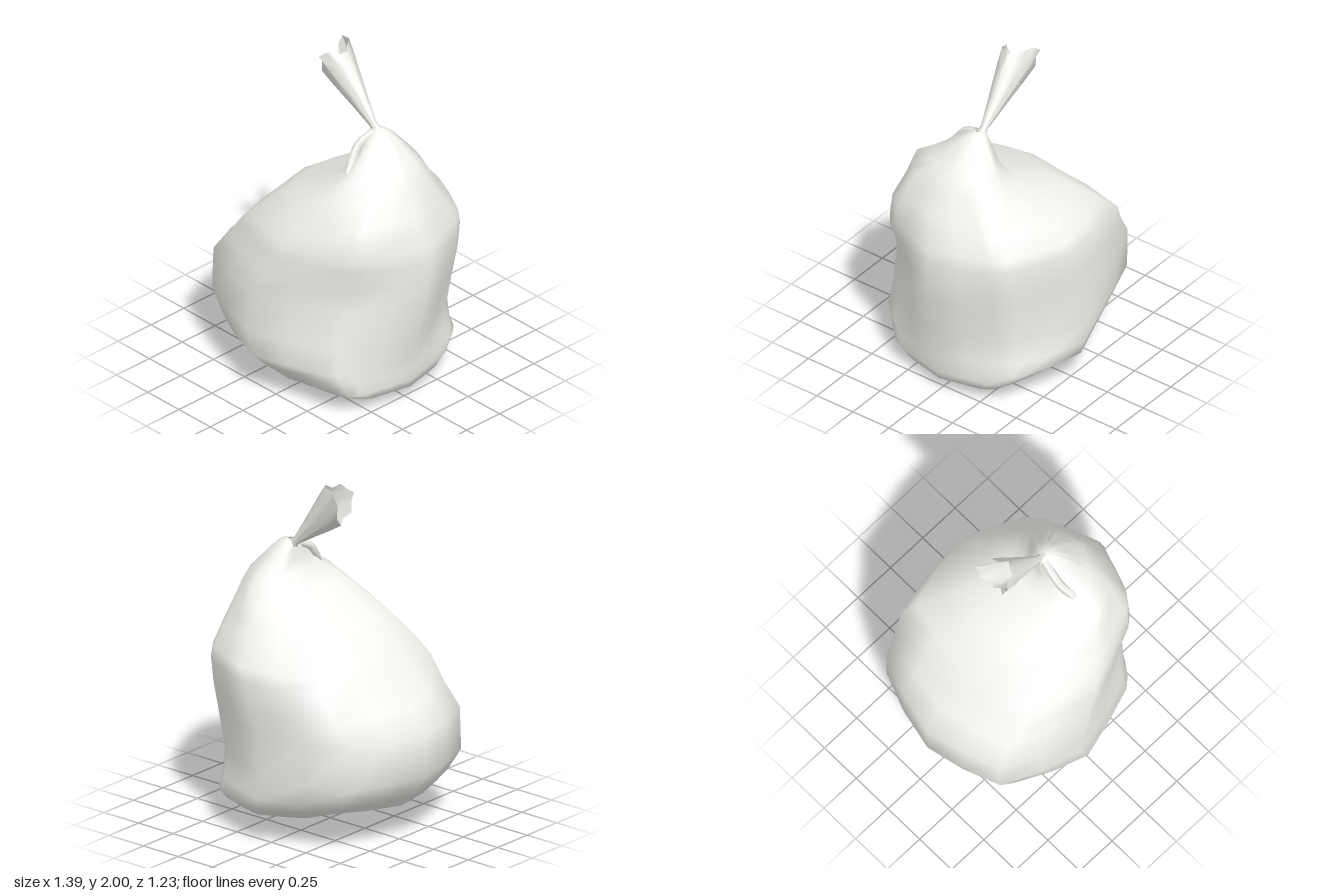
import * as THREE from 'three';

const material = new THREE.MeshStandardMaterial({ color: 0xf5f6f1, side: THREE.DoubleSide });

// Skin a surface over closed rings of Vector3 (all the same length)
function loft(name, rings) {
  const n = rings[0].length, pos = [], index = [];
  rings.forEach((ring) => ring.forEach((p) => pos.push(p.x, p.y, p.z)));
  for (let i = 0; i < rings.length - 1; i++) {
    for (let j = 0; j < n; j++) {
      const a = i * n + j, b = i * n + (j + 1) % n;
      index.push(a, a + n, b, b, a + n, b + n);
    }
  }
  const g = new THREE.BufferGeometry();
  g.setAttribute('position', new THREE.Float32BufferAttribute(pos, 3));
  g.setIndex(index);
  g.computeVertexNormals();
  const mesh = new THREE.Mesh(g, material);
  mesh.name = name;
  return mesh;
}

// Plan outline of the full bag, normalised to -1..1
const outline = new THREE.CatmullRomCurve3([
  [-1, 0], [-0.78, -0.77], [0.03, -1], [0.64, -0.73], [0.77, -0.57],
  [1, 0], [0.77, 0.58], [0.6, 0.76], [-0.1, 1], [-0.8, 0.72],
].map(([x, z]) => new THREE.Vector3(x, 0, z)), true, 'catmullrom', 0.2);

// Extents of the bag by height: y, xMin, xMax, zMin, zMax
const levels = [
  [0, 0.36, 0.38, 0.02, 0.04],
  [0.08, -0.15, 0.54, -0.38, 0.37],
  [0.13, -0.31, 0.55, -0.47, 0.48],
  [0.21, -0.54, 0.565, -0.59, 0.56],
  [0.28, -0.59, 0.58, -0.6, 0.62],
  [0.42, -0.7, 0.61, -0.605, 0.615],
  [0.67, -0.7, 0.67, -0.61, 0.61],
  [0.8, -0.58, 0.68, -0.61, 0.58],
  [0.94, -0.46, 0.69, -0.595, 0.555],
  [1.02, -0.39, 0.67, -0.58, 0.535],
  [1.12, -0.3, 0.645, -0.49, 0.48],
  [1.2, -0.19, 0.61, -0.42, 0.43],
  [1.34, 0.09, 0.54, -0.3, 0.345],
  [1.42, 0.165, 0.49, -0.24, 0.24],
  [1.5, 0.185, 0.41, -0.18, 0.13],
  [1.56, 0.195, 0.355, -0.13, 0.06],
  [1.595, 0.2, 0.31, -0.09, 0],
  [1.605, 0.23, 0.26, -0.06, -0.03],
];

// Bulges and dents at the corners: y, spread, direction (in half turns), amount
const bulges = [
  [0.12, 0.15, 0.25, 0.13],
  [0.12, 0.15, -0.25, 0.13],
  [0.16, 0.1, -0.75, -0.26],
  [0.74, 0.15, 0.25, -0.09],
  [0.93, 0.13, -0.75, 0.13],
  [0.93, 0.13, 0.75, 0.06],
  [1.13, 0.07, 0.25, 0.05],
  [1.42, 0.08, 0.25, -0.12],
];

function bagRing([y, x0, x1, z0, z1]) {
  const ring = [];
  const round = THREE.MathUtils.smoothstep(y, 1.1, 1.5);      // becomes circular at the neck
  const pleat = 0.1 * THREE.MathUtils.smoothstep(y, 1.3, 1.45);
  for (let j = 0; j < 20; j++) {
    const p = outline.getPoint(j / 20);
    const a = Math.atan2(p.z, p.x);
    p.lerp(new THREE.Vector3(Math.cos(a), 0, Math.sin(a)), round);
    // gathers under the knot, then fuller or slacker corners
    let s = 1 - pleat * (j % 2);
    bulges.forEach(([height, spread, turn, amount]) => {
      const around = Math.max(0, Math.cos(a - turn * Math.PI)) ** 8;
      s += amount * around * Math.exp(-(((y - height) / spread) ** 2));
    });
    ring.push(new THREE.Vector3(
      (x0 + x1) / 2 + p.x * s * (x1 - x0) / 2, y, (z0 + z1) / 2 + p.z * s * (z1 - z0) / 2));
  }
  return ring;
}

// Pleated tail: a fluted flare along a leaning axis with a ragged open end
const tailRoot = new THREE.Vector3(0.23, 1.575, -0.05);
const tailAxis = new THREE.Vector3(-0.7, 0.71, 0).normalize();
const tailSide = new THREE.Vector3(0.71, 0.7, 0).normalize();

function tailRing([t, r]) {
  const ring = [];
  for (let j = 0; j < 16; j++) {
    const a = -j / 16 * Math.PI * 2;
    const fold = r * (j % 2 ? 0.78 : 1);
    const length = 0.425 + 0.035 * Math.cos(a) + 0.11 * Math.sin(a) ** 2 - 0.025 * Math.sin(a);
    ring.push(tailRoot.clone()
      .addScaledVector(tailAxis, length * t)
      .addScaledVector(tailSide, Math.cos(a) * fold * 1.08)
      .add(new THREE.Vector3(0, 0, Math.sin(a) * fold - 0.005 * t)));
  }
  return ring;
}

export function createModel() {
  const group = new THREE.Group();
  group.name = 'tiedBag';
  group.add(loft('bagBody', levels.map(bagRing)));
  group.add(loft('gatheredTail',
    [[0, 0.03], [0.1, 0.022], [0.45, 0.055], [0.8, 0.09], [1, 0.107]].map(tailRing)));

  // Slack fold hanging from the knot down the front
  const path = new THREE.CatmullRomCurve3([
    [0.23, 1.58, -0.02], [0.215, 1.54, 0.07], [0.22, 1.48, 0.12], [0.25, 1.4, 0.19],
  ].map((p) => new THREE.Vector3(...p)));
  const fold = new THREE.Mesh(new THREE.TubeGeometry(path, 8, 0.025, 6), material);
  fold.name = 'knotFold';
  group.add(fold);
  return group;
}
